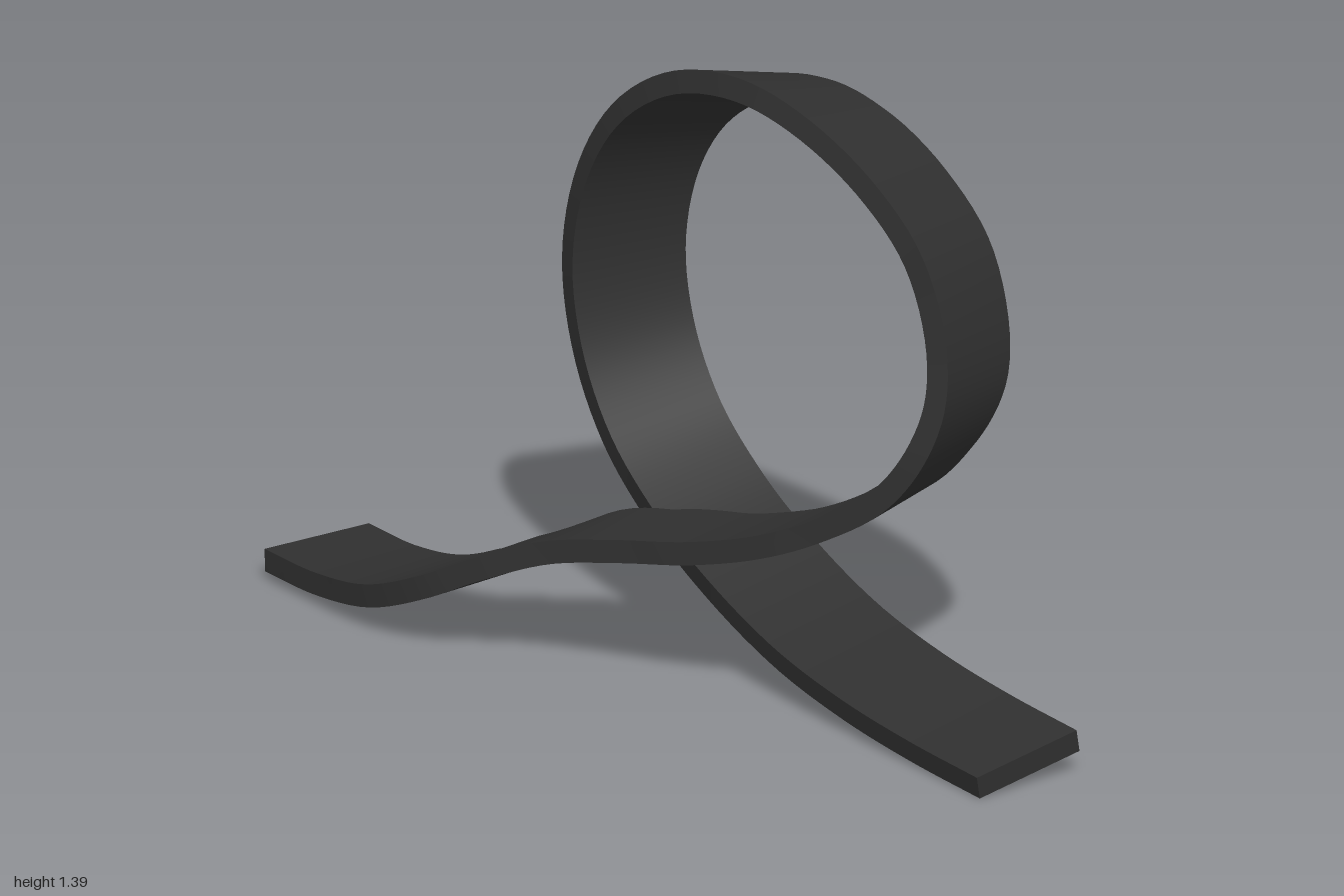
import * as THREE from 'three';

const WIDTH = 0.275, THICK = 0.052, STEPS = 160;

// Front outer edge of the band: x, y, z, bank angle
const stations = [
  [1.0, 0.003, -0.03, 0.18], [0.75, 0.012, -0.03, 0.18], [0.5, 0.034, -0.03, 0.18],
  [0.25, 0.08, -0.03, 0.18], [0, 0.168, -0.03, 0.18], [-0.2, 0.272, -0.03, 0.18],
  [-0.37, 0.41, -0.03, 0.18], [-0.48, 0.59, -0.03, 0.18], [-0.52, 0.8, -0.03, 0.19],
  [-0.475, 1.02, -0.035, 0.2], [-0.35, 1.21, -0.042, 0.22], [-0.155, 1.342, -0.055, 0.24],
  [0.075, 1.39, -0.073, 0.26], [0.27, 1.352, -0.105, 0.29], [0.45, 1.248, -0.15, 0.34],
  [0.585, 1.11, -0.182, 0.39], [0.665, 0.93, -0.188, 0.42], [0.688, 0.78, -0.168, 0.42],
  [0.657, 0.645, -0.128, 0.38], [0.58, 0.53, -0.08, 0.28], [0.46, 0.442, -0.01, 0.15],
  [0.33, 0.378, 0.06, 0.05], [0.17, 0.33, 0.135, 0], [0, 0.3, 0.21, 0],
  [-0.15, 0.268, 0.285, 0.02], [-0.3, 0.2, 0.36, 0.04], [-0.43, 0.13, 0.41, 0.04],
  [-0.6, 0.062, 0.433, 0.02], [-0.8, 0.028, 0.43, 0], [-1.0, 0.02, 0.42, 0],
];

// Four corners of the band's cross-section at each step
function crossSections() {
  const edge = new THREE.CatmullRomCurve3(stations.map(([x, y, z]) => new THREE.Vector3(x, y, z)));
  const banks = new THREE.SplineCurve(stations.map((s, i) => new THREE.Vector2(i, s[3])));
  const rings = [];
  for (let i = 0; i <= STEPS; i++) {
    const t = i / STEPS;
    const a = edge.getPoint(t), tangent = edge.getTangent(t);
    const across = new THREE.Vector3(0, 0, -1);
    across.addScaledVector(tangent, -across.dot(tangent)).normalize();
    across.applyAxisAngle(tangent, -banks.getPoint(t).y);
    const inward = across.clone().cross(tangent).normalize();
    const b = a.clone().addScaledVector(across, WIDTH);
    rings.push([a, b, b.clone().addScaledVector(inward, THICK), a.clone().addScaledVector(inward, THICK)]);
  }
  return rings;
}

function bandGeometry() {
  const rings = crossSections(), pos = [], index = [];
  const push = (v) => pos.push(v.x, v.y, v.z) / 3 - 1;
  // Separate strips keep the long edges sharp and the length smooth
  for (let side = 0; side < 4; side++) {
    rings.forEach((ring, i) => {
      const p = push(ring[side]), q = push(ring[(side + 1) % 4]);
      if (i < STEPS) index.push(p, p + 2, q, q, p + 2, q + 2);
    });
  }
  // End caps
  for (const ring of [rings[0], [...rings[STEPS]].reverse()]) {
    const [a, b, c, d] = ring.map(push);
    index.push(a, b, c, a, c, d);
  }
  const geometry = new THREE.BufferGeometry();
  geometry.setAttribute('position', new THREE.Float32BufferAttribute(pos, 3));
  geometry.setIndex(index);
  geometry.computeVertexNormals();
  return geometry;
}

export function createModel() {
  const group = new THREE.Group();
  group.name = 'loopedBand';
  const band = new THREE.Mesh(bandGeometry(), new THREE.MeshStandardMaterial({ color: 0x303030 }));
  band.name = 'band';
  group.add(band);
  return group;
}
